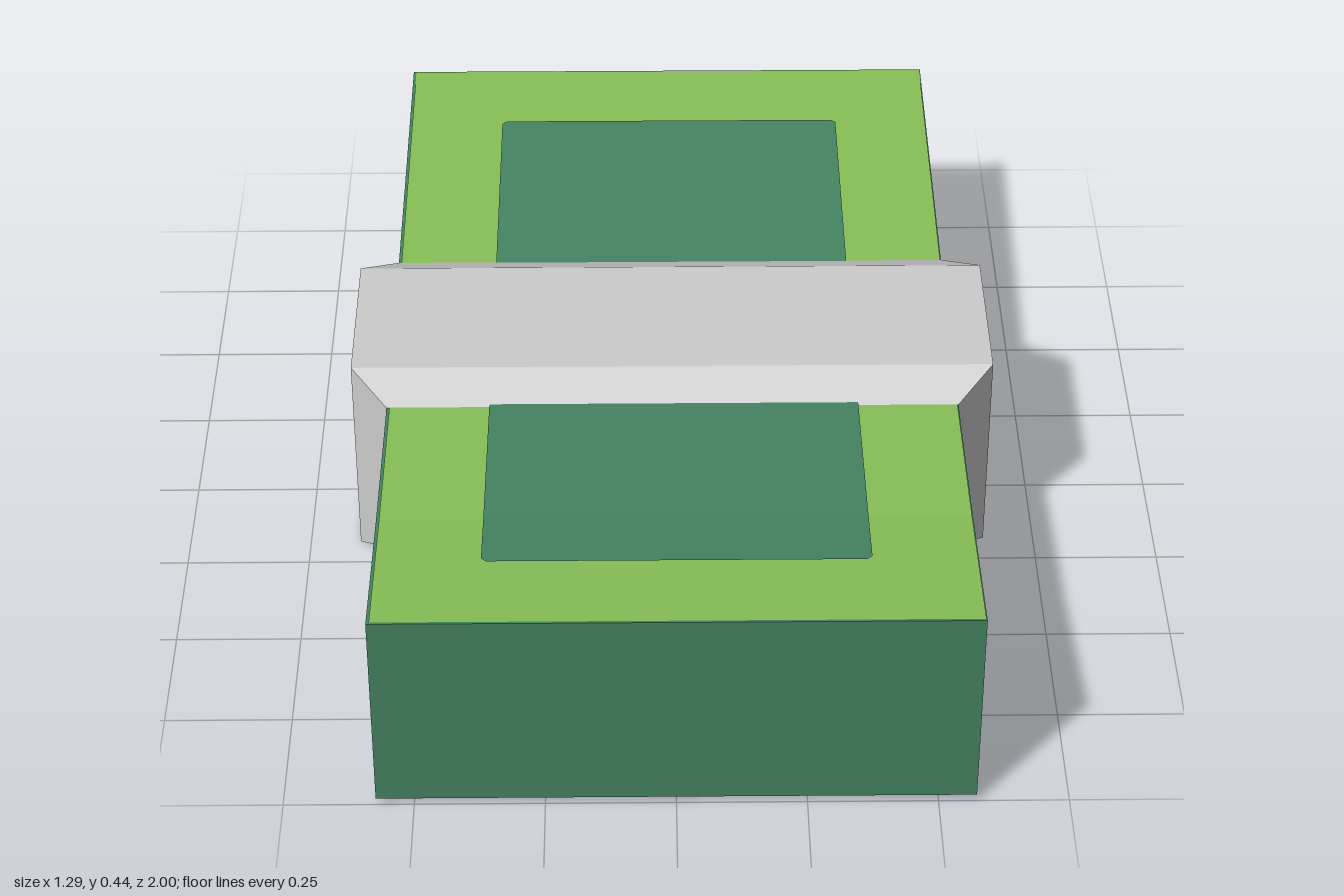
import * as THREE from 'three';

// Stack outline along its length: z, bottom y, top y
const PROFILE = [
  [1, 0.015, 0.441], [0.65, 0.029, 0.413], [0.26, 0.045, 0.398],
  [-0.26, 0.045, 0.398], [-1, 0.015, 0.428],
];

// Heights of the stack at a given z
function heightsAt(z) {
  for (let i = 0; i < PROFILE.length - 1; i++) {
    const a = PROFILE[i], b = PROFILE[i + 1];
    if (z >= b[0]) {
      const t = (a[0] - z) / (a[0] - b[0]);
      return [a[1] + (b[1] - a[1]) * t, a[2] + (b[2] - a[2]) * t];
    }
  }
  return PROFILE[PROFILE.length - 1].slice(1);
}

// Flat-faced geometry from a list of four-cornered faces
function fromQuads(quads) {
  const pos = [];
  for (const [a, b, c, d] of quads) pos.push(...a, ...b, ...c, ...a, ...c, ...d);
  const geo = new THREE.BufferGeometry();
  geo.setAttribute('position', new THREE.Float32BufferAttribute(pos, 3));
  geo.computeVertexNormals();
  return geo;
}

// Solid through rectangular sections [z, half width, bottom, top], front to back
function loft(sections) {
  const rings = sections.map(([z, w, y0, y1]) => [[-w, y0, z], [w, y0, z], [w, y1, z], [-w, y1, z]]);
  const quads = [rings[0], [...rings[rings.length - 1]].reverse()];
  for (let i = 0; i < rings.length - 1; i++) {
    const a = rings[i], b = rings[i + 1];
    for (let k = 0; k < 4; k++) {
      const n = (k + 1) % 4;
      quads.push([a[k], b[k], b[n], a[n]]);
    }
  }
  return fromQuads(quads);
}

// Printed face following the stack, rows are [z, left x, right x], front to back
function sheet(rows, top, lift) {
  const pts = rows.map(([z, x0, x1]) => {
    const [lo, hi] = heightsAt(z);
    const y = top ? hi + lift : lo - lift;
    return [[x0, y, z], [x1, y, z]];
  });
  const quads = [];
  for (let i = 0; i < pts.length - 1; i++) {
    const q = [pts[i][0], pts[i][1], pts[i + 1][1], pts[i + 1][0]];
    quads.push(top ? q : q.reverse());
  }
  return fromQuads(quads);
}

export function createModel() {
  const group = new THREE.Group();
  const material = (name, color) => {
    const m = new THREE.MeshStandardMaterial({ color });
    m.name = name;
    return m;
  };
  const darkGreen = material('dark green', 0x458462);
  const lightGreen = material('light green', 0x88c057);
  const grey = material('band grey', 0xcccccc);
  const add = (name, geo, mat) => {
    const mesh = new THREE.Mesh(geo, mat);
    mesh.name = name;
    group.add(mesh);
  };

  // Stack of notes, flaring away from the band
  add('noteStack', loft(PROFILE.map(([z, lo, hi]) => [z, 0.573, lo, hi])), darkGreen);

  // Light faces and dark centre panels, above and below, at both ends
  const x0 = -0.567, x1 = 0.571, p0 = -0.367, p1 = 0.372, c = 0.01;
  const borders = {
    front: [0.997, 0.65, 0.255].map((z) => [z, x0, x1]),
    back: [-0.255, -0.995].map((z) => [z, x0, x1]),
  };
  const panels = {
    front: [[0.8, p0 + c, p1 - c], [0.79, p0, p1], [0.65, p0, p1], [0.255, p0, p1]],
    back: [[-0.255, p0, p1], [-0.78, p0, p1], [-0.79, p0 + c, p1 - c]],
  };
  for (const top of [true, false]) {
    const side = top ? 'Top' : 'Bottom';
    for (const end of ['front', 'back']) {
      add(`${end}${side}Border`, sheet(borders[end], top, 0.002), lightGreen);
      add(`${end}${side}Panel`, sheet(panels[end], top, 0.005), darkGreen);
    }
  }

  // Wrapping band with bevelled edges
  add('band', loft([
    [0.262, 0.573, 0.042, 0.4], [0.18, 0.647, 0, 0.441],
    [-0.18, 0.647, 0, 0.441], [-0.262, 0.573, 0.042, 0.4],
  ]), grey);

  return group;
}
